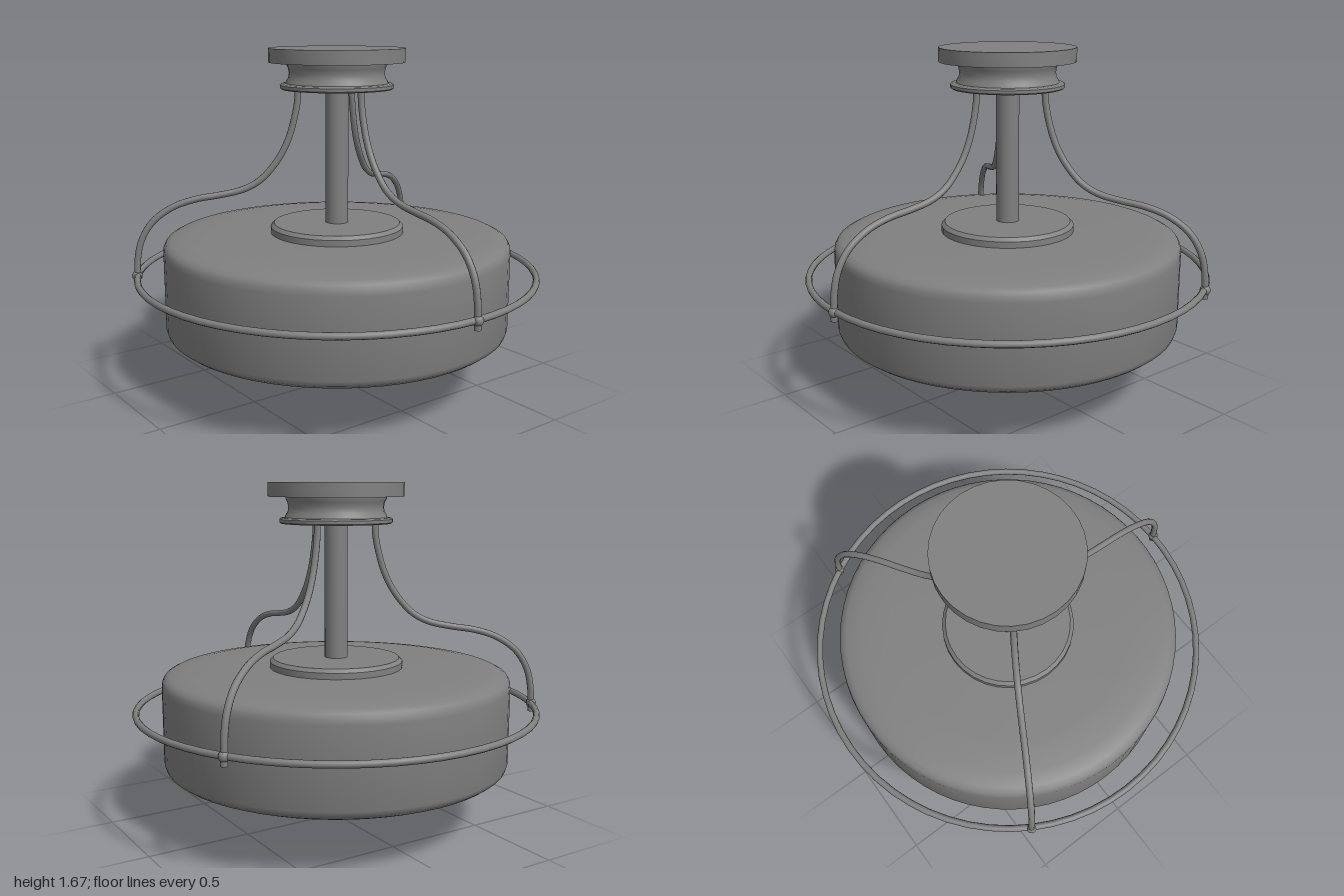
import * as THREE from 'three';
import { toCreasedNormals } from 'three/addons/utils/BufferGeometryUtils.js';

const material = new THREE.MeshStandardMaterial({ color: 0x808080 });

function addMesh(parent, name, geometry) {
  const mesh = new THREE.Mesh(geometry, material);
  mesh.name = name;
  parent.add(mesh);
  return mesh;
}

// Turned part from [radius, height] pairs listed bottom to top
function turned(profile, segments, crease = 0.6) {
  const points = profile.map(([r, y]) => new THREE.Vector2(r, y));
  return toCreasedNormals(new THREE.LatheGeometry(points, segments), crease);
}

export function createModel() {
  const model = new THREE.Group();
  model.name = 'ceilingLamp';
  const lamp = new THREE.Group();
  lamp.name = 'lampBody';
  lamp.position.z = -0.007;
  model.add(lamp);

  // Ceiling canopy: bottom flange, concave neck and top disc
  addMesh(lamp, 'canopy', turned([
    [0, 1.473], [0.265, 1.473], [0.273, 1.479], [0.273, 1.494], [0.265, 1.5],
    [0.247, 1.502], [0.243, 1.512], [0.233, 1.528], [0.229, 1.55],
    [0.234, 1.575], [0.243, 1.592], [0.243, 1.6],
    [0.327, 1.6], [0.327, 1.667], [0, 1.667],
  ], 32));

  // Central stem
  const stem = addMesh(lamp, 'stem', new THREE.CylinderGeometry(0.056, 0.056, 0.7, 24));
  stem.position.y = 1.14;

  // Cap plate on top of the shade
  addMesh(lamp, 'capPlate', turned([
    [0, 0.77], [0.327, 0.77], [0.327, 0.805], [0.31, 0.822], [0, 0.822],
  ], 32));

  // Drum shade with rounded shoulders and a shallow conical base
  addMesh(lamp, 'shade', turned([
    [0, 0.155], [0.22, 0.178], [0.54, 0.222], [0.7, 0.251], [0.78, 0.272],
    [0.82, 0.289], [0.842, 0.306], [0.85, 0.33], [0.85, 0.7], [0.847, 0.725],
    [0.836, 0.744], [0.81, 0.757], [0.74, 0.768], [0.6, 0.774], [0, 0.776],
  ], 64, 1));

  // Finial: collar, tapered cup, rimmed plate and ball
  addMesh(lamp, 'finialCup', turned([
    [0, 0.08], [0.07, 0.08], [0.08, 0.087], [0.08, 0.098], [0.073, 0.105],
    [0.1, 0.112], [0.176, 0.153], [0.184, 0.158], [0.19, 0.152], [0.212, 0.152],
    [0.222, 0.16], [0.222, 0.174], [0.212, 0.181], [0, 0.181],
  ], 32, 0.5));
  const ball = addMesh(lamp, 'finialBall', new THREE.SphereGeometry(0.056, 24, 16));
  ball.position.y = 0.056;

  // Outer ring around the shade
  const ring = addMesh(lamp, 'outerRing', new THREE.TorusGeometry(0.977, 0.016, 10, 60));
  ring.rotation.x = Math.PI / 2;
  ring.position.y = 0.577;

  // Three curved arms carrying the ring
  const path = new THREE.CatmullRomCurve3([
    [0.187, 1.49], [0.19, 1.42], [0.207, 1.33], [0.238, 1.23], [0.285, 1.14],
    [0.36, 1.05], [0.415, 1.012], [0.475, 0.988], [0.575, 0.968], [0.685, 0.951],
    [0.795, 0.915], [0.895, 0.845], [0.952, 0.755], [0.975, 0.66], [0.98, 0.56],
  ].map(([r, y]) => new THREE.Vector3(0, y, r)));
  const armGeometry = new THREE.TubeGeometry(path, 64, 0.016, 10);
  for (let i = 0; i < 3; i++) {
    const arm = new THREE.Group();
    arm.name = 'arm' + (i + 1);
    arm.rotation.y = i * Math.PI * 2 / 3;
    lamp.add(arm);
    addMesh(arm, 'armRod', armGeometry);
    const joint = addMesh(arm, 'ringJoint', new THREE.SphereGeometry(0.025, 16, 12));
    joint.position.set(0, 0.577, 0.981);
    const tip = addMesh(arm, 'armTip', new THREE.CylinderGeometry(0.016, 0.016, 0.042, 12));
    tip.position.set(0, 0.556, 0.981);
  }

  return model;
}
